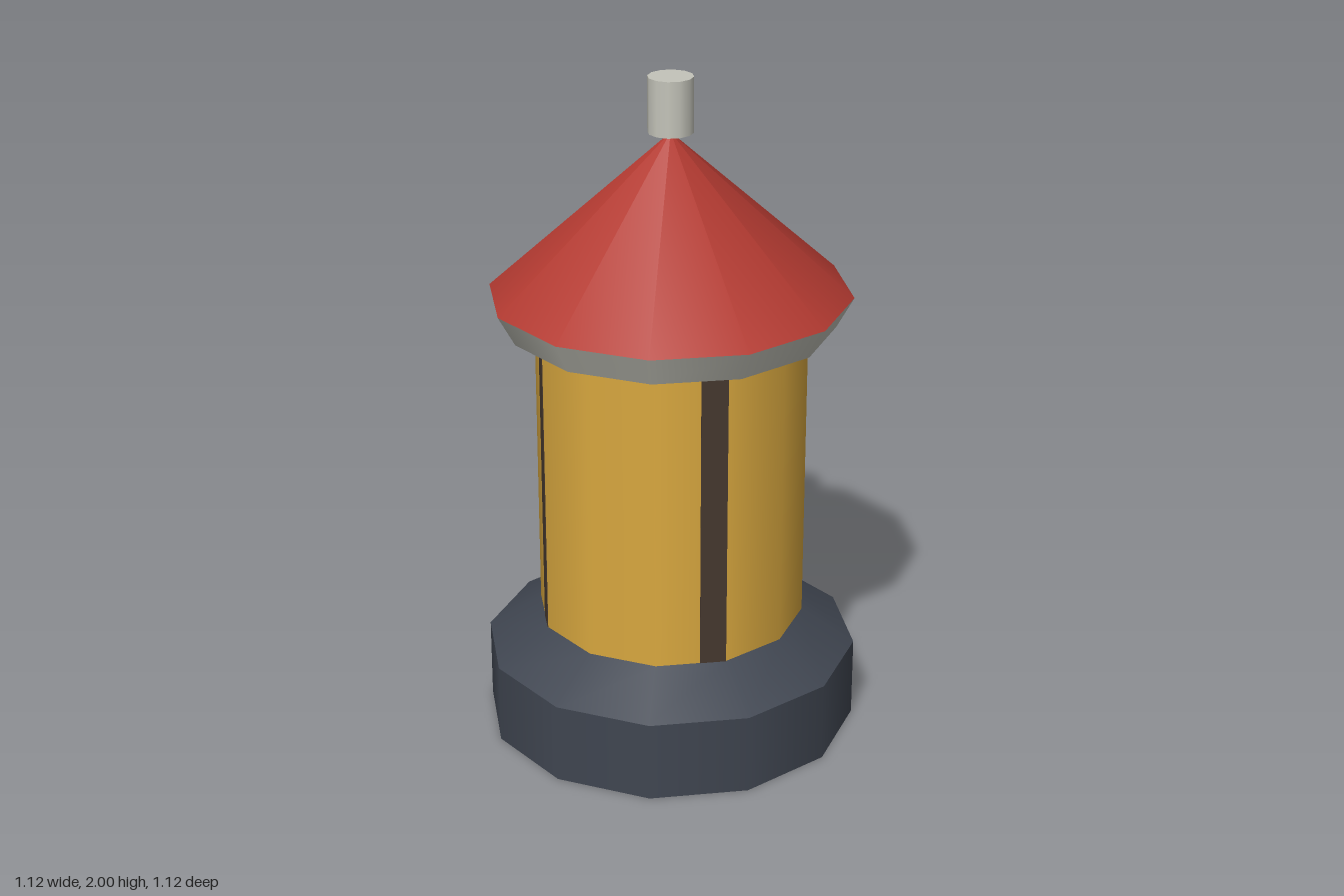
import * as THREE from 'three';

const SIDES = 12;

function material(name, color) {
  const m = new THREE.MeshStandardMaterial({ color });
  m.name = name;
  return m;
}

export function createModel() {
  const slate = material('slate', 0x404651);
  const yellow = material('yellow', 0xd9a83f);
  const brown = material('dark brown', 0x46382f);
  const red = material('red', 0xb33a31);
  const grey = material('pale grey', 0xc4c4ba);

  const group = new THREE.Group();
  group.name = 'lanternTower';

  function add(name, geometry, mat, y = 0) {
    const mesh = new THREE.Mesh(geometry, mat);
    mesh.name = name;
    mesh.position.y = y;
    group.add(mesh);
    return mesh;
  }

  // Tapered twelve-sided drum between two heights
  function drum(name, rTop, rBottom, y0, y1, mat, open = false) {
    const g = new THREE.CylinderGeometry(rTop, rBottom, y1 - y0, SIDES, 1, open);
    return add(name, g, mat, (y0 + y1) / 2);
  }

  // Base block with sloped shoulder
  drum('base', 0.56, 0.56, 0, 0.243, slate);
  drum('baseShoulder', 0.4, 0.56, 0.243, 0.348, slate);

  // Body
  const R = 0.4, y0 = 0.348, y1 = 1.27;
  drum('body', R, R, y0, y1, yellow, true);

  // Four dark stripes, each lying on a facet beside its corner
  const half = Math.PI / SIDES, width = 0.077;
  for (let i = 0; i < 4; i++) {
    const g = new THREE.BoxGeometry(width, y1 - y0, 0.004);
    g.translate(R * Math.sin(half) - width / 2, 0, R * Math.cos(half));
    const stripe = add('stripe' + (i + 1), g, brown, (y0 + y1) / 2);
    stripe.rotation.y = -half + i * Math.PI / 2;
  }

  // Eaves: grey outer band with a red underside
  drum('eavesBand', 0.53, 0.48, 1.27, 1.361, [grey, red, red]);

  // Roof cone
  const roof = new THREE.ConeGeometry(0.53, 1.838 - 1.361, SIDES, 1, true);
  add('roof', roof, red, (1.838 + 1.361) / 2);

  // Finial
  drum('finial', 0.066, 0.066, 1.838, 2, grey);

  return group;
}
